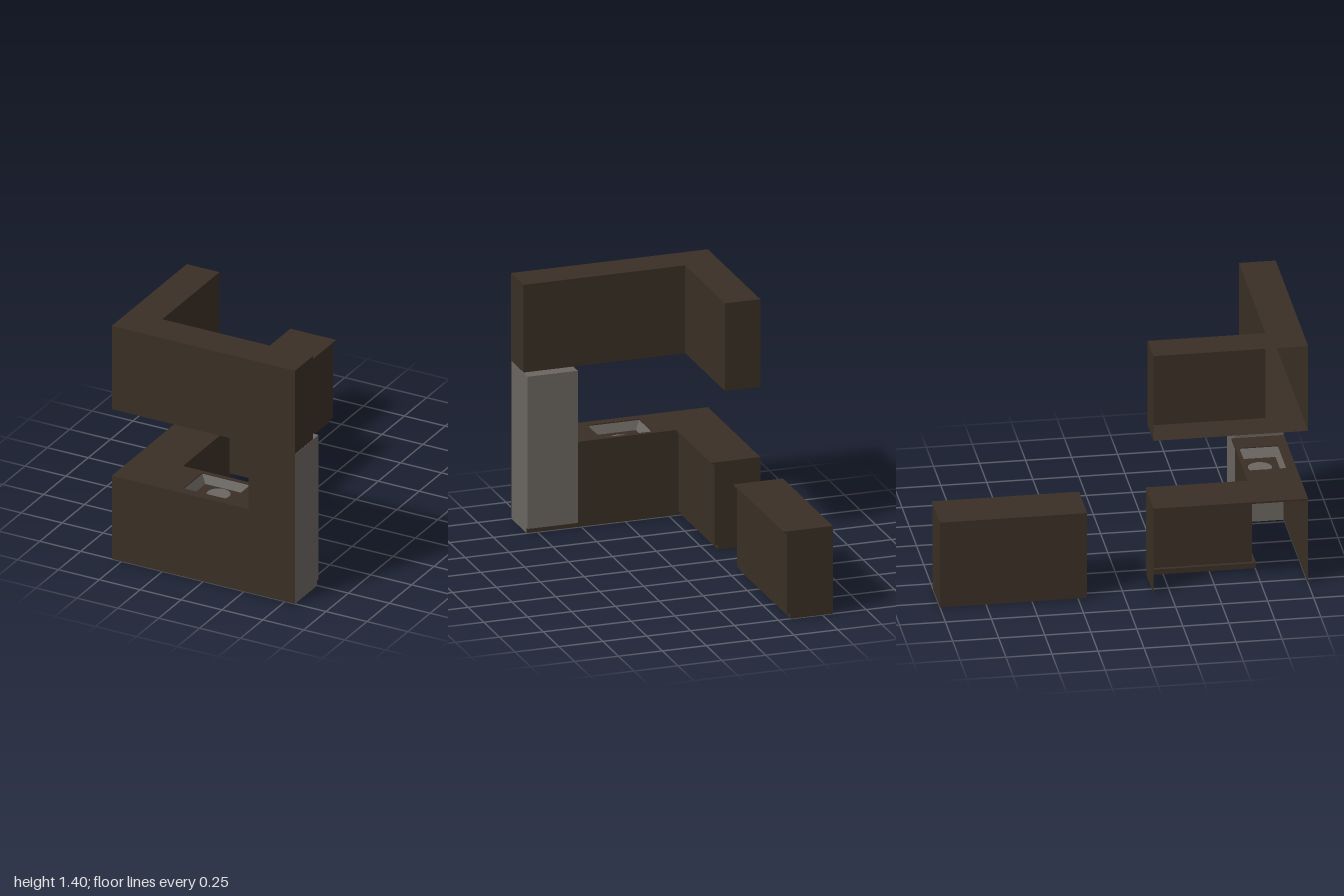
import * as THREE from 'three';

const brown = new THREE.MeshStandardMaterial({ name: 'dark wood', color: 0x3a2f25, side: THREE.DoubleSide });
const grey = new THREE.MeshStandardMaterial({ name: 'grey metal', color: 0x6b6660, side: THREE.DoubleSide });

function add(parent, name, geometry, material) {
  const mesh = new THREE.Mesh(geometry, material);
  mesh.name = name;
  parent.add(mesh);
  return mesh;
}

// Box given by its low and high corners
function box(parent, name, [x0, y0, z0], [x1, y1, z1], material) {
  const g = new THREE.BoxGeometry(x1 - x0, y1 - y0, z1 - z0);
  g.translate((x0 + x1) / 2, (y0 + y1) / 2, (z0 + z1) / 2);
  return add(parent, name, g, material);
}

// Open band of flat quads between two rows of points
function band(parent, name, low, high, material) {
  const pos = [];
  for (let i = 0; i < low.length - 1; i++) {
    const [a, b, c, d] = [low[i], low[i + 1], high[i + 1], high[i]];
    pos.push(...a, ...b, ...c, ...a, ...c, ...d);
  }
  const g = new THREE.BufferGeometry();
  g.setAttribute('position', new THREE.Float32BufferAttribute(pos, 3));
  g.computeVertexNormals();
  return add(parent, name, g, material);
}

// Lift floor plan points [x, z] to a height
const at = (plan, y) => plan.map(([x, z]) => [x, y, z]);
const wall = (parent, name, plan, y0, y1, material) => band(parent, name, at(plan, y0), at(plan, y1), material);

// Horizontal plate from a floor plan, with optional hole and thickness
function plate(parent, name, plan, y, thickness, material, hole) {
  const toPoints = (p) => p.map(([x, z]) => new THREE.Vector2(x, -z));
  const shape = new THREE.Shape(toPoints(plan));
  if (hole) shape.holes.push(new THREE.Path(toPoints(hole)));
  const g = thickness
    ? new THREE.ExtrudeGeometry(shape, { depth: thickness, bevelEnabled: false })
    : new THREE.ShapeGeometry(shape);
  g.rotateX(-Math.PI / 2);
  g.translate(0, y, 0);
  return add(parent, name, g, material);
}

const rect = (x0, z0, x1, z1) => [[x0, z0], [x1, z0], [x1, z1], [x0, z1]];

function baseCabinets() {
  const group = new THREE.Group();
  group.name = 'baseCabinets';
  const body = [[-0.56, 0.16], [-0.3, 0.16], [-0.3, 0.735], [0.275, 0.735]];
  const toe = [[-0.56, 0.16], [-0.32, 0.16], [-0.32, 0.755], [0.275, 0.755]];
  wall(group, 'cabinetFronts', body, 0.03, 0.49, brown);
  wall(group, 'toeKick', toe, 0, 0.03, brown);
  band(group, 'toeLedge', at(toe, 0.03), at(body, 0.03), brown);

  // Worktop with the sink opening
  const rim = rect(-0.15, 0.737, 0.145, 0.947);
  const top = [[-0.56, 0.16], [-0.28, 0.16], [-0.28, 0.715], [0.275, 0.715], [0.275, 1], [-0.56, 1]];
  plate(group, 'worktop', top, 0.49, 0.01, brown, rim);

  // Tapered sink basin
  const floor = rect(-0.125, 0.75, 0.12, 0.93);
  const close = (p) => [...p, p[0]];
  band(group, 'sinkWalls', at(close(floor), 0.445), at(close(rim), 0.495), grey);
  plate(group, 'sinkFloor', floor, 0.445, 0, brown);
  const drain = new THREE.CircleGeometry(0.065, 24);
  drain.rotateX(-Math.PI / 2);
  drain.translate(-0.003, 0.448, 0.825);
  add(group, 'sinkDrain', drain, grey);
  return group;
}

function wallCabinets() {
  const group = new THREE.Group();
  group.name = 'wallCabinets';
  const fronts = [[-0.56, 0.16], [-0.36, 0.16], [-0.36, 0.8], [0.56, 0.8], [0.56, 1], [-0.56, 1]];
  wall(group, 'wallCabinetSides', fronts, 0.9, 1.4, brown);
  plate(group, 'wallCabinetBottom', fronts, 0.9, 0, brown);
  plate(group, 'wallCabinetTop', fronts, 1.4, 0, brown);
  return group;
}

function refrigerator() {
  const group = new THREE.Group();
  group.name = 'refrigerator';
  box(group, 'refrigeratorBody', [0.275, 0.03, 0.735], [0.56, 0.898, 0.998], grey);
  // Plinth: brown underneath and on the door side
  box(group, 'refrigeratorPlinth', [0.275, 0, 0.755], [0.56, 0.03, 0.998],
    [grey, grey, grey, brown, grey, brown]);
  return group;
}

function island() {
  const group = new THREE.Group();
  group.name = 'island';
  box(group, 'islandBody', [-0.56, 0.03, -1], [-0.3, 0.49, -0.2], brown);
  box(group, 'islandToeKick', [-0.56, 0, -1], [-0.32, 0.03, -0.2], brown);
  box(group, 'islandWorktop', [-0.56, 0.49, -1], [-0.28, 0.5, -0.2], brown);
  return group;
}

export function createModel() {
  const model = new THREE.Group();
  model.name = 'kitchen';
  model.add(baseCabinets(), wallCabinets(), refrigerator(), island());
  // Flat panels closing the long side
  wall(model, 'lowerPanel', [[-0.56, 1], [0.56, 1]], 0, 0.5, brown);
  wall(model, 'columnPanel', [[0.275, 1], [0.56, 1]], 0.5, 0.9, brown);
  return model;
}
